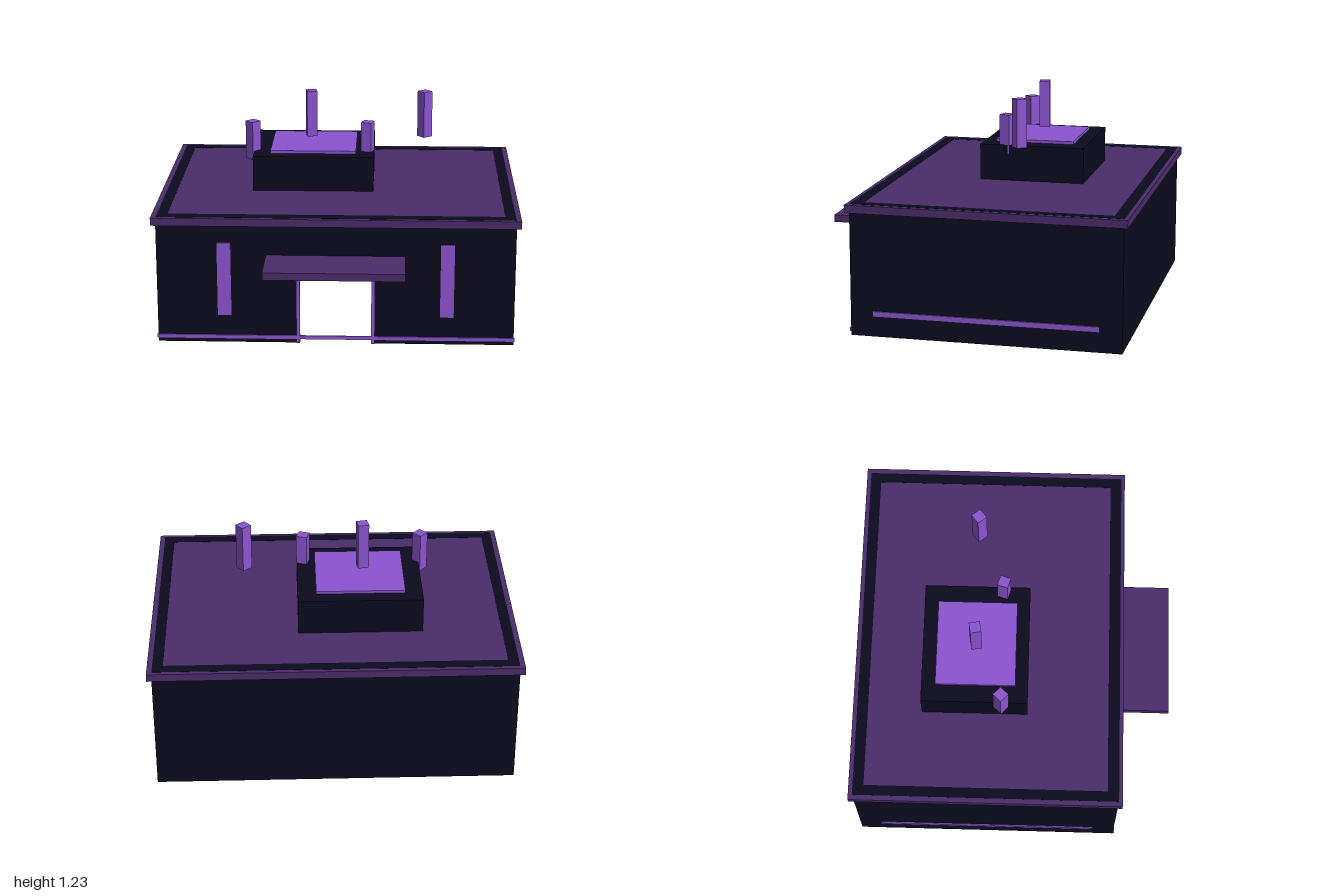
import * as THREE from 'three';

const mat = (name, color) => new THREE.MeshStandardMaterial({ name, color });

export function createModel() {
  const dark = mat('midnight wall', 0x0b0b1e);
  const plum = mat('plum trim', 0x4a2c6a);
  const violet = mat('bright violet', 0x8b54d0);
  const root = new THREE.Group();
  root.name = 'building';

  // Box given by its extents on each axis
  const box = (name, m, [x0, x1], [y0, y1], [z0, z1]) => {
    const mesh = new THREE.Mesh(new THREE.BoxGeometry(x1 - x0, y1 - y0, z1 - z0), m);
    mesh.position.set((x0 + x1) / 2, (y0 + y1) / 2, (z0 + z1) / 2);
    mesh.name = name;
    root.add(mesh);
    return mesh;
  };
  const rect = (P, x0, x1, y0, y1) => new P([
    new THREE.Vector2(x0, y0), new THREE.Vector2(x1, y0),
    new THREE.Vector2(x1, y1), new THREE.Vector2(x0, y1)]);

  // Hollow shell, open underneath, with a doorway in the front wall
  const W = 0.975, T = 0.06, H = 0.675, back = -0.865, front = 0.6;
  box('backWall', dark, [-W, W], [0, H], [back, back + T]);
  for (const s of [-1, 1]) {
    const x = [s * W, s * (W - T)].sort((a, b) => a - b);
    box('sideWall', dark, x, [0, H], [back + T, front - T]);
  }
  const wall = new THREE.Shape([
    [-W, 0], [-0.2, 0], [-0.2, 0.42], [0.2, 0.42], [0.2, 0], [W, 0], [W, H], [-W, H],
  ].map(p => new THREE.Vector2(...p)));
  const frontWall = new THREE.Mesh(
    new THREE.ExtrudeGeometry(wall, { depth: T, bevelEnabled: false }), dark);
  frontWall.position.z = front - T;
  frontWall.name = 'frontWall';
  root.add(frontWall);

  // Roof slab with a dark inlaid border
  box('roof', plum, [-1, 1], [0.673, 0.716], [-0.888, 0.62]);
  const border = rect(THREE.Shape, -0.972, 0.972, -0.6, 0.865);
  border.holes.push(rect(THREE.Path, -0.915, 0.915, -0.537, 0.805));
  const inlay = new THREE.Mesh(
    new THREE.ExtrudeGeometry(border, { depth: 0.002, bevelEnabled: false }), dark);
  inlay.rotation.x = -Math.PI / 2;
  inlay.position.y = 0.715;
  inlay.name = 'roofBorder';
  root.add(inlay);

  // Rooftop block and its glowing panel
  box('rooftopBlock', dark, [-0.485, 0.195], [0.716, 0.915], [-0.502, 0.085]);
  box('rooftopPanel', violet, [-0.39, 0.095], [0.915, 0.931], [-0.425, 0.015]);

  // Entrance canopy and door frame
  box('canopy', plum, [-0.378, 0.378], [0.465, 0.506], [front, 0.89]);
  for (const s of [-1, 1]) {
    const x = [s * 0.195, s * 0.215].sort((a, b) => a - b);
    box('doorJamb', violet, x, [0, 0.43], [0.585, 0.608]);
  }
  box('doorHead', violet, [-0.195, 0.195], [0.41, 0.43], [0.585, 0.608]);

  // Light strips and tall front windows
  box('frontStrip', violet, [-0.98, 0.98], [0.022, 0.042], [0.598, 0.607]);
  for (const s of [-1, 1]) {
    const win = [s * 0.57, s * 0.645].sort((a, b) => a - b);
    box('frontWindow', violet, win, [0.158, 0.575], [0.598, 0.606]);
    const side = [s * 0.974, s * 0.983].sort((a, b) => a - b);
    box('sideStrip', violet, side, [0.11, 0.14], [-0.745, 0.478]);
  }

  // Floating shards: x, bottom, top, z, turn
  for (const [x, y0, y1, z, turn] of [
    [-0.165, 0.965, 1.23, -0.207, 0.17],
    [0.485, 0.965, 1.23, -0.207, 0.68],
    [-0.492, 0.865, 1.085, -0.061, 0.8],
    [0.16, 0.865, 1.085, -0.061, -0.3],
  ]) {
    const r = 0.03;
    box('floatingShard', violet, [x - r, x + r], [y0, y1], [z - r, z + r]).rotation.y = turn;
  }
  return root;
}
